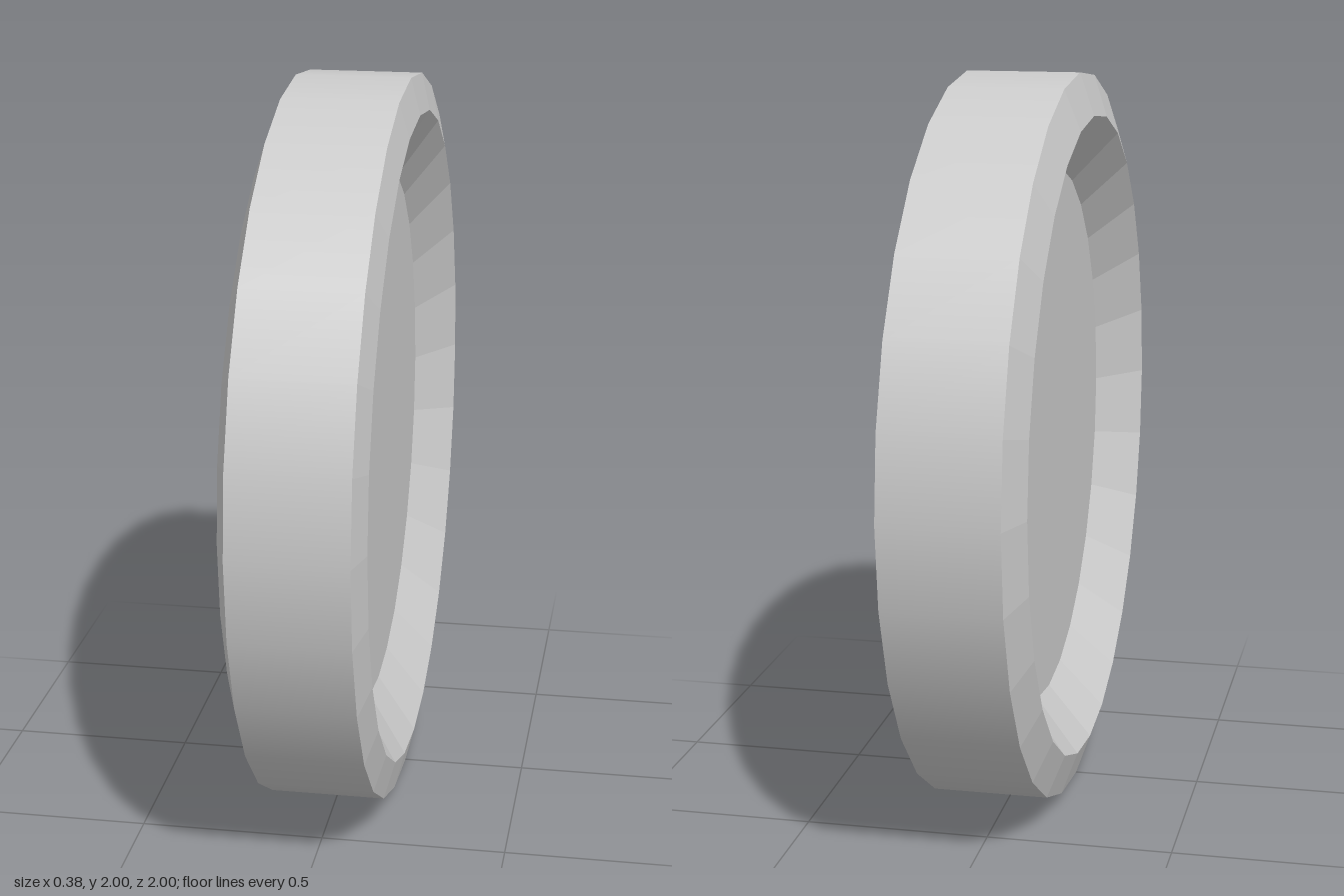
import * as THREE from 'three';

const SIDES = 28;

export function createModel() {
  const group = new THREE.Group();
  group.name = 'dishedDisc';
  const smooth = new THREE.MeshStandardMaterial({ color: 0xcccccc });
  const flat = new THREE.MeshStandardMaterial({ color: 0xcccccc, flatShading: true });

  const add = (name, geometry, material) => {
    const mesh = new THREE.Mesh(geometry, material);
    mesh.name = name;
    mesh.position.y = 1;
    group.add(mesh);
  };

  // Ring of facets around the x axis; each end is [radius, x]
  const ring = (name, from, to, material) => {
    const points = [from, to].map(([r, x]) => new THREE.Vector2(r, x));
    add(name, new THREE.LatheGeometry(points, SIDES).rotateZ(-Math.PI / 2), material);
  };

  // Flat floor of a recess, facing +x or -x
  const floor = (name, radius, x, facing) => {
    const disc = new THREE.CircleGeometry(radius, SIDES);
    add(name, disc.rotateY(facing * Math.PI / 2).translate(x, 0, 0), flat);
  };

  // Right face: floor, sloped wall and chamfered rim
  floor('rightFloor', 0.74, -0.07, -1);
  ring('rightRecessWall', [0.74, -0.07], [0.885, -0.19], flat);
  ring('rightRim', [0.885, -0.19], [1, -0.15], flat);

  // Smooth outer band
  ring('outerBand', [1, -0.15], [1, 0.16], smooth);

  // Left face: slightly wider and shallower recess
  ring('leftRim', [1, 0.16], [0.9, 0.185], flat);
  ring('leftRecessWall', [0.9, 0.185], [0.74, 0.08], flat);
  floor('leftFloor', 0.74, 0.08, 1);

  return group;
}
